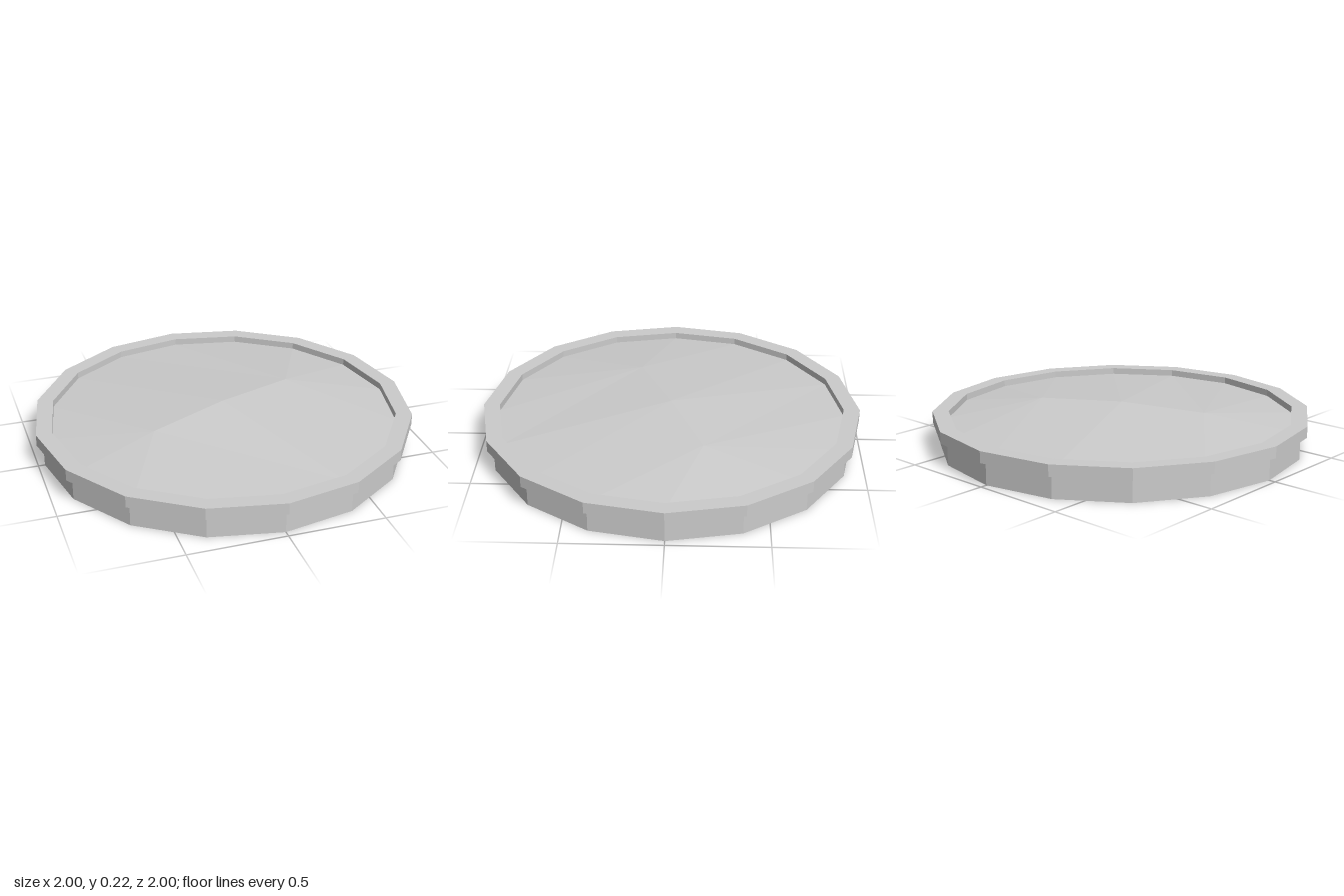
import * as THREE from 'three';

const SIDES = 16;
const material = new THREE.MeshStandardMaterial({
  color: 0xcccccc, flatShading: true, side: THREE.DoubleSide,
});

// Thin faceted ring swept from a [radius, height] profile
function ring(name, profile) {
  const points = profile.map(([r, y]) => new THREE.Vector2(r, y));
  const mesh = new THREE.Mesh(new THREE.LatheGeometry(points, SIDES), material);
  mesh.name = name;
  return mesh;
}

// Tent-shaped panel: a bent ridge along x, falling to a level round edge
function ridgedPanel(radius, edgeY, midY, peakY) {
  const edge = (k) => {
    const a = (k / SIDES) * Math.PI * 2;
    return [radius * Math.cos(a), edgeY, -radius * Math.sin(a)];
  };
  // Ridge point that each edge corner is joined to
  const ridge = (k) => {
    const c = Math.cos((k / SIDES) * Math.PI * 2);
    if (Math.abs(c) < 0.01) return [0, peakY, 0];
    return [Math.sign(c) * radius / 2, midY, 0];
  };
  const positions = [];
  for (let k = 0; k < SIDES; k++) {
    const from = ridge(k), to = ridge(k + 1);
    positions.push(...from, ...edge(k), ...edge(k + 1));
    if (from[0] !== to[0]) positions.push(...from, ...edge(k + 1), ...to);
  }
  const geometry = new THREE.BufferGeometry();
  geometry.setAttribute('position', new THREE.Float32BufferAttribute(positions, 3));
  geometry.computeVertexNormals();
  return geometry;
}

export function createModel() {
  const group = new THREE.Group();
  group.name = 'lid';

  // Open skirt below, then the overhanging rim that folds down into the recess
  group.add(ring('skirt', [[0.966, 0], [0.966, 0.12]]));
  group.add(ring('rim', [[0.966, 0.12], [1, 0.12], [1, 0.18], [0.915, 0.18], [0.915, 0.145]]));

  // Raised top panel, its ridge turned by one side of the ring
  const panel = new THREE.Mesh(ridgedPanel(0.915, 0.145, 0.2, 0.22), material);
  panel.name = 'topPanel';
  panel.rotation.y = (Math.PI * 2) / SIDES;
  group.add(panel);

  return group;
}
